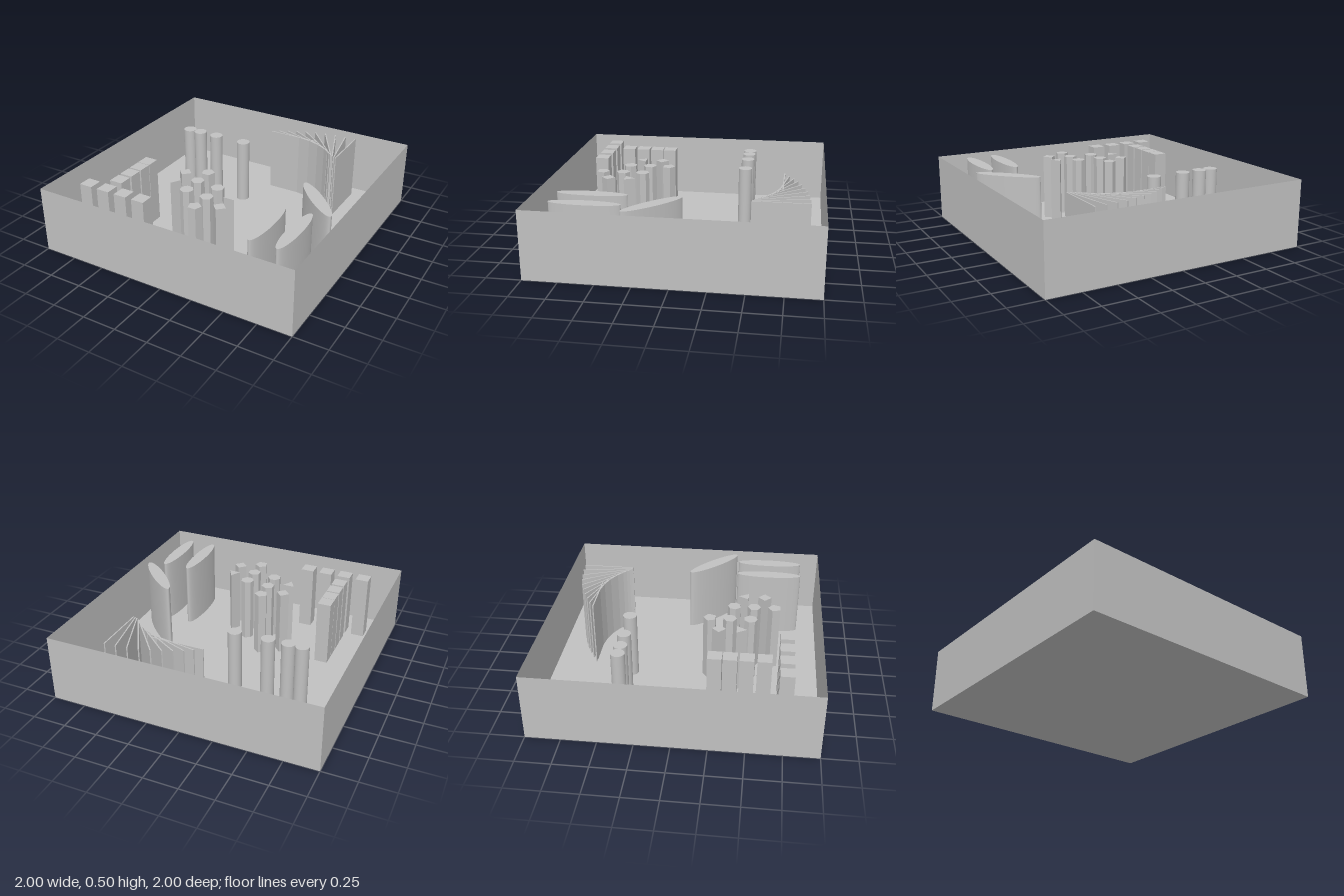
import * as THREE from 'three';

const H = 0.5; // shared height of the walls and everything standing inside

export function createModel() {
  const model = new THREE.Group();
  const grey = new THREE.MeshStandardMaterial({ color: 0xc0c0c0, side: THREE.DoubleSide });
  grey.name = 'plainGrey';

  const add = (name, geometry, x, y, z, turn = 0) => {
    const mesh = new THREE.Mesh(geometry, grey);
    mesh.name = name;
    mesh.position.set(x, y, z);
    mesh.rotation.y = turn;
    model.add(mesh);
    return mesh;
  };

  // Open tray: floor and four paper-thin walls
  add('floor', new THREE.PlaneGeometry(2, 2).rotateX(-Math.PI / 2), 0, 0, 0);
  ['frontWall', 'leftWall', 'backWall', 'rightWall'].forEach((name, i) => {
    const a = (i * Math.PI) / 2;
    add(name, new THREE.PlaneGeometry(2, H), Math.sin(a), H / 2, Math.cos(a), a);
  });

  // Row of round columns
  const round = new THREE.CylinderGeometry(0.05, 0.05, H, 40);
  for (const x of [-0.65, -0.55, -0.4, -0.15]) add('roundColumn', round, x, H / 2, -0.4);

  // Square columns in an L
  const square = new THREE.BoxGeometry(0.1, H, 0.1);
  for (const z of [0.26, 0.365, 0.48, 0.6]) add('squareColumn', square, -0.605, H / 2, z);
  for (const x of [-0.755, -0.605, -0.455, -0.305]) add('squareColumn', square, x, H / 2, 0.752);

  // Regular prisms: sides, x, z, and whether a corner points to the back
  const prisms = [
    [3, -0.258, 0.415, false], [4, -0.26, 0.263, true], [5, -0.112, 0.187, true],
    [6, -0.11, 0.333, true], [7, -0.106, 0.483, false], [7, 0.071, 0.355, true],
    [6, 0.071, 0.503, true], [5, 0.071, 0.655, true], [3, 0.222, 0.43, true],
    [4, 0.222, 0.578, true],
  ];
  for (const [sides, x, z, back] of prisms) {
    const prism = new THREE.CylinderGeometry(0.05, 0.05, H, sides).toNonIndexed();
    prism.computeVertexNormals();
    add('prismColumn', prism, x, H / 2, z, back ? Math.PI : 0);
  }

  // Long elliptical columns
  const ellipse = new THREE.CylinderGeometry(1, 1, H, 64).scale(0.05, 1, 0.25);
  add('ellipticalColumn', ellipse, 0.6, H / 2, 0.6);
  add('ellipticalColumn', ellipse, 0.8, H / 2, 0.6);
  add('ellipticalColumn', ellipse, 0.75, H / 2, 0.15, Math.PI / 4);

  // Fan of upright plates, each shifted and turned ten degrees further
  const plate = new THREE.BoxGeometry(0.009, H, 0.4);
  for (let i = 0; i < 10; i++) {
    add('fanPlate', plate, 0.6 - 0.05 * i, H / 2, -0.7, (i * Math.PI) / 18);
  }

  return model;
}
